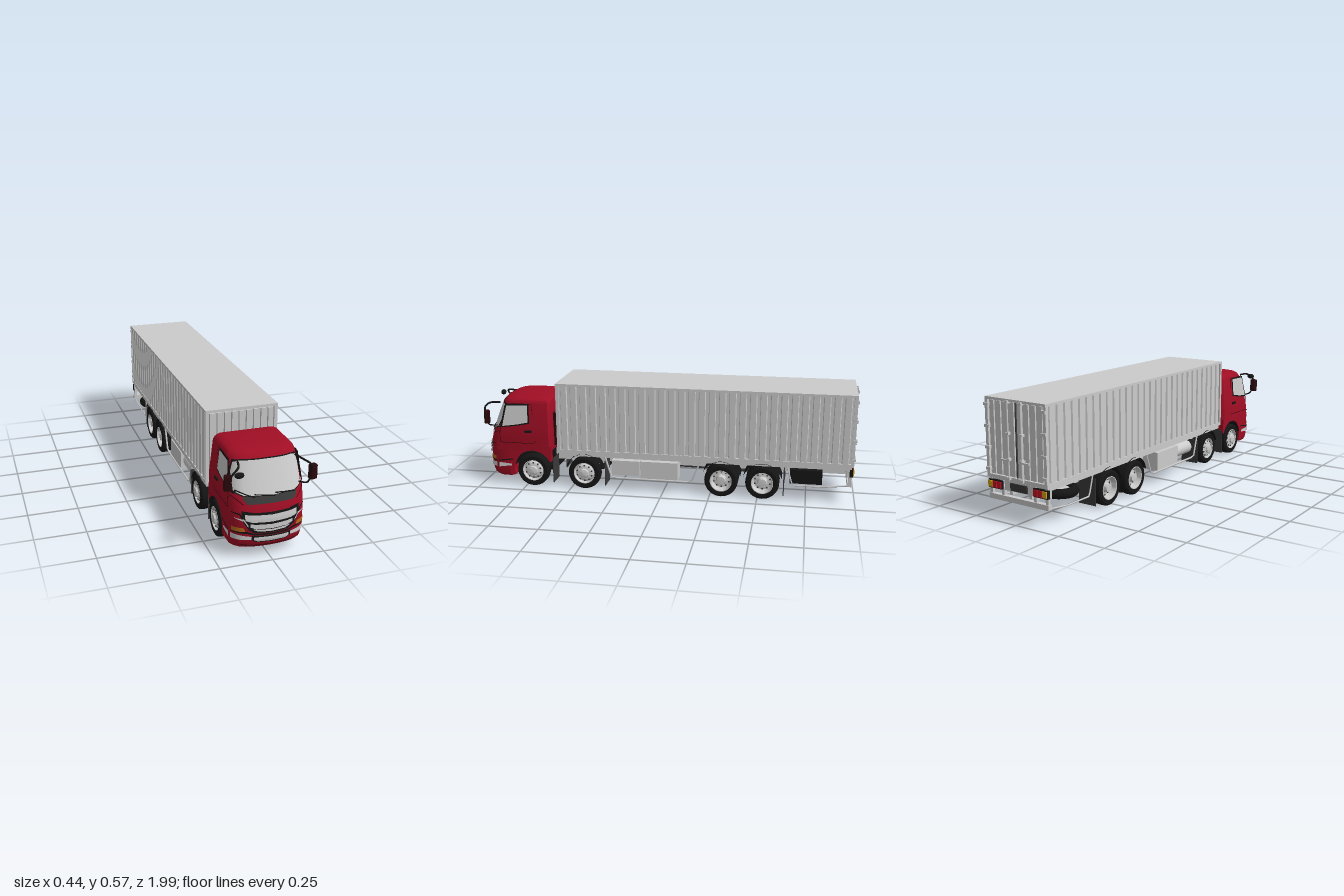
import * as THREE from 'three';
import { toCreasedNormals } from 'three/addons/utils/BufferGeometryUtils.js';
import { RoundedBoxGeometry } from 'three/addons/geometries/RoundedBoxGeometry.js';

const mat = (color) => new THREE.MeshStandardMaterial({ color, side: THREE.DoubleSide });
const GREY = mat(0xcccccc), RED = mat(0xa00e24), BLACK = mat(0x151515), DARK = mat(0x3a3a3a);
const AMBER = mat(0xb8691a), LAMP = mat(0xc01525), YELLOW = mat(0xd0a015), WINE = mat(0x2a080c);

export function createModel() {
  const truck = new THREE.Group();
  const add = (name, geo, m = GREY) => {
    const mesh = new THREE.Mesh(geo, m);
    mesh.name = name;
    truck.add(mesh);
    return mesh;
  };
  // box given by its extents
  const box = (name, x0, x1, y0, y1, z0, z1, m) =>
    add(name, new THREE.BoxGeometry(Math.abs(x1 - x0), y1 - y0, Math.abs(z1 - z0)), m)
      .position.set((x0 + x1) / 2, (y0 + y1) / 2, (z0 + z1) / 2);
  const tube = (name, pts, r, m, bend = false) => {
    const v = pts.map((p) => new THREE.Vector3(...p));
    const path = bend ? new THREE.CatmullRomCurve3(v) : new THREE.CurvePath();
    if (!bend) v.slice(1).forEach((p, i) => path.add(new THREE.LineCurve3(v[i], p)));
    return add(name, new THREE.TubeGeometry(path, bend ? 16 : (v.length - 1) * 6, r, 6), m);
  };
  const both = (fn) => [1, -1].forEach(fn);

  // ---- cab: height, half width, front z, back z
  const cabRows = [[0.05, 0.168, 0.95, 0.82], [0.062, 0.174, 0.962, 0.82], [0.1, 0.178, 0.972, 0.82],
    [0.2, 0.178, 0.972, 0.82], [0.2, 0.178, 0.972, 0.605], [0.26, 0.178, 0.965, 0.603], [0.3, 0.177, 0.95, 0.603],
    [0.455, 0.161, 0.892, 0.608], [0.472, 0.154, 0.878, 0.613], [0.482, 0.143, 0.86, 0.622], [0.488, 0.12, 0.82, 0.645]];
  const at = (y, k) => {
    const i = Math.max(1, cabRows.findIndex((r) => r[0] >= y));
    const a = cabRows[i - 1], b = cabRows[i];
    return a[k] + (b[k] - a[k]) * (y - a[0]) / (b[0] - a[0]);
  };
  const bulge = (s) => 0.03 * s * s + 0.04 * s ** 8;
  const frontZ = (x, y) => at(y, 2) - bulge(Math.min(1, Math.abs(x) / at(y, 1)));

  const cabShell = (rows) => {
    const pos = [], idx = [], N = 40;
    rows.forEach(([y, w, zf, zb]) => {
      pos.push(w - 0.015, y, zb, w, y, zb + 0.015);
      for (let i = 0; i <= N; i++) {
        const s = 1 - 2 * i / N;
        pos.push(s * w, y, zf - bulge(s));
      }
      pos.push(-w, y, zb + 0.015, -w + 0.015, y, zb);
    });
    const n = N + 5, last = (rows.length - 1) * n, c = rows.length * n;
    [rows[0], rows.at(-1)].forEach(([y, , zf, zb]) => pos.push(0, y, (zf + zb) / 2));
    for (let i = 0; i < n; i++) {
      const k = (i + 1) % n;
      for (let j = 0; j < last; j += n) idx.push(j + i, j + n + i, j + k, j + k, j + n + i, j + n + k);
      idx.push(c, i, k, c + 1, last + k, last + i);
    }
    const g = new THREE.BufferGeometry();
    g.setAttribute('position', new THREE.Float32BufferAttribute(pos, 3));
    g.setIndex(idx);
    return toCreasedNormals(g, 0.6);
  };
  add('cabBody', cabShell(cabRows.slice(4)), RED);
  add('frontBumper', cabShell(cabRows.slice(0, 4)), RED);

  // panel lying on the cab front; columns are [x, bottom, top]
  const panel = (name, cols, off, m) => {
    const n = (cols.length - 1) * 8;
    const g = new THREE.PlaneGeometry(1, 1, n, 8), p = g.attributes.position;
    for (let i = 0; i < p.count; i++) {
      const u = (p.getX(i) + 0.5) * (cols.length - 1), k = Math.min(cols.length - 2, Math.floor(u + 1e-6));
      const [x, b, t] = cols[k].map((v, q) => v + (cols[k + 1][q] - v) * (u - k));
      const y = b + (t - b) * (p.getY(i) + 0.5);
      p.setXYZ(i, x, y, frontZ(x, y) + off);
    }
    g.computeVertexNormals();
    return add(name, g, m);
  };
  const flip = (cols) => cols.map(([x, b, t]) => [-x, b, t]).reverse();
  const wide = (name, cols, off, m) => panel(name, [...flip(cols).slice(0, -1), ...cols], off, m);
  const pair = (name, cols, off, m) => { panel(name, cols, off, m); panel(name, flip(cols), off, m); };

  wide('windscreenSeal', [[0, 0.296, 0.458], [0.12, 0.3, 0.456], [0.15, 0.312, 0.45], [0.163, 0.318, 0.4]], 0.003, BLACK);
  wide('windscreen', [[0, 0.302, 0.454], [0.12, 0.306, 0.452], [0.148, 0.317, 0.442], [0.16, 0.324, 0.4]], 0.005, GREY);
  wide('cowlPanel', [[0, 0.27, 0.302], [0.11, 0.27, 0.304], [0.126, 0.29, 0.306]], 0.007, DARK);
  wide('grilleSurround', [[0, 0.128, 0.228], [0.08, 0.131, 0.23], [0.1, 0.145, 0.235], [0.135, 0.2, 0.24]], 0.003, BLACK);
  [[0.183, 0.218, 0.122], [0.15, 0.172, 0.1], [0.137, 0.147, 0.085]].forEach(([b, t, w]) =>
    wide('grilleSlat', [[0, b, t], [w * 0.75, b + 0.004, t + 0.004], [w, b + 0.014, t + 0.008]], 0.008, GREY));
  pair('cornerVane', [[0.105, 0.148, 0.166], [0.13, 0.19, 0.213], [0.145, 0.222, 0.23], [0.172, 0.228, 0.232]], 0.008, BLACK);
  pair('vaneTrim', [[0.11, 0.166, 0.176], [0.128, 0.195, 0.205], [0.165, 0.206, 0.209]], 0.011, GREY);
  pair('cornerCrease', [[0.125, 0.265, 0.269], [0.15, 0.285, 0.29], [0.17, 0.298, 0.301]], 0.003, WINE);
  wide('bumperGap', [[0, 0.118, 0.127], [0.08, 0.12, 0.129], [0.11, 0.13, 0.14], [0.174, 0.134, 0.138]], 0.004, BLACK);
  pair('turnSignal', [[0.122, 0.141, 0.15], [0.13, 0.14, 0.16], [0.172, 0.14, 0.16]], 0.005, AMBER);
  pair('headlight', [[0.09, 0.1, 0.115], [0.13, 0.1, 0.121], [0.174, 0.1, 0.126]], 0.005, GREY);
  wide('lowerIntakeFrame', [[0, 0.083, 0.117], [0.07, 0.085, 0.118], [0.092, 0.1, 0.12]], 0.006, BLACK);
  wide('lowerIntake', [[0, 0.089, 0.112], [0.066, 0.091, 0.113], [0.082, 0.1, 0.115]], 0.009, GREY);
  wide('bumperLip', [[0, 0.064, 0.068], [0.09, 0.064, 0.068], [0.14, 0.072, 0.075]], 0.003, WINE);

  // wipers
  [[-0.155, 0.328, -0.075, 0.3], [-0.075, 0.312, 0.015, 0.3], [0.02, 0.312, 0.115, 0.304]].forEach(([x0, y0, x1, y1]) =>
    tube('wiper', [0, 0.5, 1].map((t) => {
      const x = x0 + (x1 - x0) * t, y = y0 + (y1 - y0) * t;
      return [x, y, frontZ(x, y) + 0.01];
    }), 0.003, BLACK));

  // ---- cab sides
  const sidePanel = (name, pts, off, m) => both((s) => {
    const g = new THREE.ShapeGeometry(new THREE.Shape(pts.map((q) => new THREE.Vector2(...q)))), p = g.attributes.position;
    for (let i = 0; i < p.count; i++) p.setXYZ(i, s * (at(p.getY(i), 1) + off), p.getY(i), p.getX(i));
    g.computeVertexNormals();
    add(name, g, m);
  });
  sidePanel('sideWindowSeal', [[0.885, 0.322], [0.855, 0.45], [0.725, 0.455], [0.722, 0.348], [0.79, 0.335]], 0.002, BLACK);
  sidePanel('sideWindow', [[0.873, 0.33], [0.848, 0.443], [0.733, 0.448], [0.73, 0.355], [0.79, 0.342]], 0.004, GREY);
  sidePanel('sideLamp', [[0.9, 0.1], [0.9, 0.126], [0.83, 0.12], [0.83, 0.11]], 0.002, GREY);
  sidePanel('bumperSideGap', [[0.902, 0.132], [0.902, 0.139], [0.82, 0.15], [0.82, 0.144]], 0.002, BLACK);
  both((s) => {
    const seam = [[0.888, 0.24], [0.888, 0.31], [0.855, 0.453], [0.71, 0.453], [0.69, 0.24], [0.888, 0.24]];
    tube('doorSeam', seam.map(([z, y]) => [s * at(y, 1), y, z]), 0.0015, WINE);
    box('doorHandle', s * 0.175, s * 0.183, 0.3, 0.311, 0.71, 0.75, BLACK);
    // arch panel around the front wheel
    const arch = new THREE.Shape();
    arch.moveTo(0.84, 0.06);
    arch.lineTo(0.84, 0.225);
    arch.lineTo(0.607, 0.225);
    arch.lineTo(0.607, 0.14);
    arch.absarc(0.71, 0.095, 0.104, Math.PI - 0.45, -0.3, true);
    const g = new THREE.ExtrudeGeometry(arch, { depth: 0.03, bevelEnabled: false, curveSegments: 20 });
    g.rotateY(-Math.PI / 2).translate(s > 0 ? 0.1775 : -0.1475, 0, 0);
    add('frontWheelArch', g, RED);
    // mirrors
    const head = add('mirrorHead', new RoundedBoxGeometry(0.036, 0.072, 0.03, 3, 0.008), WINE);
    head.position.set(s * 0.2, 0.385, 0.945);
    head.rotation.y = s * 0.3;
    tube('mirrorUpperArm', [[0.135, 0.452, 0.89], [0.152, 0.45, 0.945], [0.18, 0.432, 0.962], [0.2, 0.4, 0.95]].map(([x, y, z]) => [s * x, y, z]), 0.005, BLACK, true);
    tube('mirrorLowerArm', [[0.148, 0.325, 0.905], [0.175, 0.335, 0.945], [0.188, 0.36, 0.95]].map(([x, y, z]) => [s * x, y, z]), 0.004, BLACK, true);
  });
  const round = add('kerbMirror', new THREE.SphereGeometry(0.022, 16, 10), BLACK);
  round.scale.set(1, 0.65, 0.6);
  round.position.set(-0.16, 0.432, 0.983);
  box('engineBlock', -0.1, 0.1, 0.07, 0.2, 0.61, 0.83, BLACK);
  box('cabRearVent', -0.12, 0.12, 0.22, 0.4, 0.592, 0.606, WINE);

  // ---- wheels
  const lathe = (pts) => toCreasedNormals(new THREE.LatheGeometry(pts.map((p) => new THREE.Vector2(...p)), 36), 0.6);
  const tyre = lathe([[0.056, 0], [0.078, 0], [0.086, 0.006], [0.088, 0.014], [0.088, 0.038], [0.086, 0.046], [0.078, 0.052], [0.06, 0.051], [0.056, 0.047]]);
  const rims = {
    front: lathe([[0.054, 0], [0.054, 0.03], [0.058, 0.05], [0.055, 0.05], [0.05, 0.033], [0.044, 0.044], [0.03, 0.05], [0.026, 0.05], [0.023, 0.059], [0.014, 0.063], [0, 0.063]]),
    rear: lathe([[0.054, 0], [0.054, 0.03], [0.058, 0.051], [0.054, 0.051], [0.05, 0.022], [0.044, 0.016], [0.028, 0.018], [0.024, 0.022], [0.021, 0.045], [0, 0.047]]),
  };
  const wheel = (kind, s, z, outer) => {
    const g = new THREE.Group();
    g.name = kind + 'Wheel';
    const put = (name, geo, m, r = 0, a = 0, y = 0) => {
      const q = new THREE.Mesh(geo, m);
      q.name = name;
      q.position.set(r * Math.cos(a), y, r * Math.sin(a));
      g.add(q);
    };
    put('tyre', tyre, BLACK);
    put('rim', rims[kind], GREY);
    for (let i = 0; i < 10; i++) {
      const a = i * Math.PI / 5, front = kind === 'front';
      put('rimHole', new THREE.CylinderGeometry(0.0045, 0.0045, 0.005, 8), DARK, 0.041, a, front ? 0.0445 : 0.0165);
      put('wheelNut', new THREE.CylinderGeometry(0.002, 0.002, 0.006, 6), GREY, 0.03, a + 0.3, front ? 0.051 : 0.02);
    }
    g.rotation.z = -s * Math.PI / 2;
    g.position.set(s * (outer - 0.052), 0.088, z);
    truck.add(g);
  };
  [0.71, 0.425, -0.31, -0.525].forEach((z, i) => {
    both((s) => {
      wheel(i < 2 ? 'front' : 'rear', s, z, 0.181);
      if (i > 1) wheel('rear', s, z, 0.125);
      // curved mudguard over the wheel
      const g = new THREE.CylinderGeometry(0.103, 0.103, i > 1 ? 0.105 : 0.055, 20, 1, true, 0.25, Math.PI - 0.5);
      g.rotateZ(Math.PI / 2).rotateX(0);
      g.computeBoundingBox();
      if (g.boundingBox.max.y < 0.09) g.rotateX(Math.PI / 2);
      add('mudguard', g, BLACK).position.set(s * (i > 1 ? 0.125 : 0.15), 0.09, z);
    });
    add('axle', new THREE.CylinderGeometry(0.014, 0.014, 0.28, 12).rotateZ(Math.PI / 2), DARK).position.set(0, 0.088, z);
    if (i > 1) add('differential', new THREE.SphereGeometry(0.034, 16, 12), DARK).position.set(0, 0.09, z);
  });
  both((s) => [0.597, 0.31, -0.635].forEach((z) => box('mudFlap', s * 0.075, s * 0.176, 0.025, 0.16, z - 0.002, z + 0.002, DARK)));

  // ---- chassis
  both((s) => {
    box('chassisRail', s * 0.05, s * 0.066, 0.125, 0.19, -0.96, 0.85);
    box('subframeRail', s * 0.05, s * 0.07, 0.188, 0.202, -0.97, 0.56);
    box('floorEdgeRail', s * 0.15, s * 0.172, 0.18, 0.205, -0.97, 0.56);
  });
  for (let i = 0; i < 9; i++) box('crossMember', -0.16, 0.16, 0.178, 0.2, 0.5 - i * 0.18, 0.515 - i * 0.18);
  for (let i = 0; i < 5; i++) box('frameBrace', -0.05, 0.05, 0.135, 0.17, 0.56 - i * 0.36, 0.575 - i * 0.36);
  box('rearCabMount', -0.07, 0.07, 0.13, 0.165, 0.51, 0.6);
  tube('driveShaft', [[0, 0.12, 0.62], [0, 0.095, -0.5]], 0.01, DARK);
  box('forwardLocker', 0.075, 0.165, 0.085, 0.165, 0.125, 0.275);
  box('rearLocker', 0.075, 0.17, 0.07, 0.168, -0.08, 0.12);
  box('batteryBox', -0.17, -0.075, 0.07, 0.168, -0.09, 0.11);
  add('airTank', new THREE.CylinderGeometry(0.036, 0.036, 0.15, 20).rotateX(Math.PI / 2)).position.set(-0.125, 0.125, 0.195);
  box('toolBox', 0.09, 0.17, 0.095, 0.168, -0.83, -0.665, BLACK);
  const spare = add('spareTyre', new THREE.TorusGeometry(0.064, 0.024, 12, 32).rotateX(Math.PI / 2), BLACK);
  spare.position.set(-0.09, 0.13, -0.79);
  add('spareRim', new THREE.CylinderGeometry(0.045, 0.045, 0.02, 24), GREY).position.copy(spare.position);
  both((s) => {
    const x = s * 0.172;
    tube('sideGuard', [[x, 0.185, 0.31], [x, 0.07, 0.275], [x, 0.07, -0.155], [x, 0.185, -0.2]], 0.005);
    tube('rearSideGuard', [[x, 0.185, -0.65], [x, 0.085, -0.68], [x, 0.085, -0.84], [x, 0.1, -0.965]], 0.004);
    box('underrunPost', s * 0.09, s * 0.105, 0.1, 0.19, -0.972, -0.955);
    box('underrunEnd', s * 0.16, s * 0.175, 0.1, 0.2, -0.975, -0.96);
    // tail lamps, outermost first
    box('lampHousing', s * 0.095, s * 0.178, 0.148, 0.188, -0.982, -0.965, BLACK);
    [YELLOW, LAMP, LAMP].forEach((m, i) => box('tailLamp', s * (0.175 - i * 0.027), s * (0.152 - i * 0.027), 0.153, 0.183, -0.988, -0.98, m));
  });
  box('rearUnderrunBar', -0.178, 0.178, 0.095, 0.12, -0.978, -0.955);
  box('tailBeam', -0.175, 0.175, 0.145, 0.2, -0.968, -0.95);
  box('plateHolder', -0.05, 0.05, 0.15, 0.185, -0.975, -0.966, DARK);

  // ---- cargo box
  box('cargoCore', -0.168, 0.168, 0.2, 0.57, -0.972, 0.555);
  box('cargoRoof', -0.18, 0.18, 0.563, 0.575, -0.985, 0.57);
  both((s) => {
    box('bottomRail', s * 0.166, s * 0.18, 0.2, 0.216, -0.985, 0.57);
    [[0.553, 0.57], [-0.985, -0.968]].forEach(([a, b]) => box('cornerPost', s * 0.164, s * 0.18, 0.2, 0.57, a, b));
  });
  box('frontSill', -0.18, 0.18, 0.2, 0.216, 0.553, 0.57);
  box('rearSill', -0.18, 0.18, 0.2, 0.216, -0.985, -0.968);
  // ribbed wall, raised outward by depth
  const ribbed = (name, length, count, depth, y0, y1, turn, x, z) => {
    const p = length / count, pts = [[-length / 2, -0.006]];
    for (let i = 0; i < count; i++) [[0, 0], [0.15, 0], [0.22, 1], [0.78, 1], [0.85, 0], [1, 0]].forEach(([u, d]) =>
      pts.push([-length / 2 + (i + u) * p, d * depth]));
    pts.push([length / 2, -0.006]);
    const g = new THREE.ExtrudeGeometry(new THREE.Shape(pts.map((q) => new THREE.Vector2(...q))), { depth: y1 - y0, bevelEnabled: false });
    g.rotateX(-Math.PI / 2).rotateY(turn).translate(x, y0, z);
    add(name, g);
  };
  both((s) => ribbed('sideWall', 1.52, 29, 0.008, 0.214, 0.564, -s * Math.PI / 2, s * 0.17, -0.207));
  ribbed('frontWall', 0.328, 9, 0.008, 0.214, 0.555, Math.PI, 0, 0.557);
  both((s) => {
    ribbed('rearDoor', 0.16, 4, 0.005, 0.218, 0.56, 0, s * 0.083, -0.974);
    tube('lockRod', [[s * 0.04, 0.2, -0.99], [s * 0.04, 0.572, -0.99]], 0.004);
    [0.212, 0.3, 0.42, 0.562].forEach((y) => box('rodBracket', s * 0.032, s * 0.048, y - 0.006, y + 0.006, -0.997, -0.976));
    box('lockHandle', s * 0.04, s * 0.085, 0.292, 0.3, -0.998, -0.99);
    [0.24, 0.34, 0.44, 0.54].forEach((y) => box('doorHinge', s * 0.155, s * 0.182, y - 0.007, y + 0.007, -0.992, -0.975));
  });
  box('doorGasket', -0.002, 0.002, 0.216, 0.563, -0.981, -0.97, DARK);
  return truck;
}
